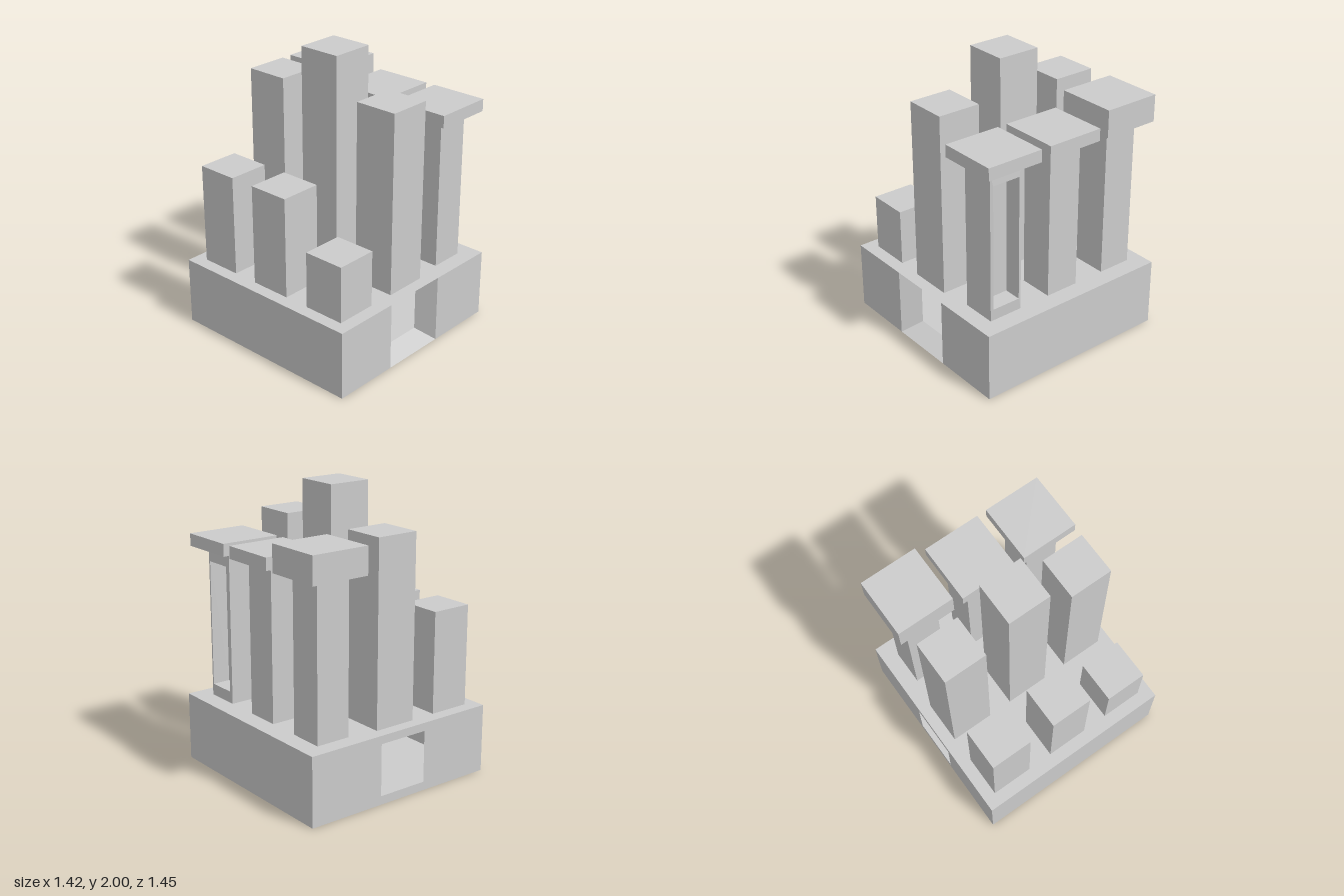
import * as THREE from 'three';

const mat = new THREE.MeshStandardMaterial({ color: 0xcccccc, flatShading: true, side: THREE.DoubleSide });

export function createModel() {
  const model = new THREE.Group();
  const add = (parent, name, geometry) => {
    const mesh = new THREE.Mesh(geometry, mat);
    mesh.name = name;
    parent.add(mesh);
    return mesh;
  };

  // Box given by its limits on each axis
  const block = (name, x0, x1, y0, y1, z0, z1) => {
    const g = new THREE.BoxGeometry(x1 - x0, y1 - y0, z1 - z0);
    g.translate((x0 + x1) / 2, (y0 + y1) / 2, (z0 + z1) / 2);
    return add(model, name, g);
  };

  // Skin through rectangles [u0, u1, v0, v1, w] stacked along w, optionally closed at both ends
  const loft = (rings, closed) => {
    const loops = rings.map(([a, b, c, d, w]) => [[a, c, w], [b, c, w], [b, d, w], [a, d, w]]);
    const pos = [];
    const quad = (a, b, c, d) => pos.push(...a, ...b, ...c, ...a, ...c, ...d);
    for (let r = 0; r < loops.length - 1; r++) {
      for (let i = 0; i < 4; i++) {
        const j = (i + 1) % 4;
        quad(loops[r][i], loops[r][j], loops[r + 1][j], loops[r + 1][i]);
      }
    }
    if (closed) {
      quad(...[...loops[0]].reverse());
      quad(...loops[loops.length - 1]);
    }
    const g = new THREE.BufferGeometry();
    g.setAttribute('position', new THREE.Float32BufferAttribute(pos, 3));
    g.computeVertexNormals();
    return g;
  };

  // Hollow base shell
  const X = 0.712, Z0 = -0.727, Z1 = 0.723, H = 0.477;
  const base = new THREE.Group();
  base.name = 'base';
  model.add(base);
  const depth = Z1 - Z0, midZ = (Z0 + Z1) / 2;
  add(base, 'baseFront', new THREE.PlaneGeometry(2 * X, H).translate(0, H / 2, Z1));
  add(base, 'baseBack', new THREE.PlaneGeometry(2 * X, H).rotateY(Math.PI).translate(0, H / 2, Z0));
  add(base, 'baseTop', new THREE.PlaneGeometry(2 * X, depth).rotateX(-Math.PI / 2).translate(0, H, midZ));
  add(base, 'baseFloor', new THREE.PlaneGeometry(2 * X, depth).rotateX(Math.PI / 2).translate(0, 0, midZ));

  // Left side: two panels with a full-height doorway and a tapered frame between them
  for (const [a, b] of [[Z0, -0.23], [0.25, Z1]]) {
    add(base, 'leftPanel', new THREE.PlaneGeometry(b - a, H).rotateY(Math.PI / 2).translate(X, H / 2, (a + b) / 2));
  }
  const portal = add(base, 'doorwayFrame', loft([[-0.25, 0.23, 0, H, X], [-0.19, 0.17, 0.06, 0.42, X - 0.14]], false));
  portal.rotation.y = Math.PI / 2;

  // Right side: one wall with a smaller opening
  const wall = new THREE.Shape([[Z0, 0], [Z1, 0], [Z1, H], [Z0, H]].map(p => new THREE.Vector2(...p)));
  wall.holes.push(new THREE.Path([[-0.175, 0.06], [-0.175, 0.42], [0.19, 0.42], [0.19, 0.06]].map(p => new THREE.Vector2(...p))));
  add(base, 'rightWall', new THREE.ShapeGeometry(wall).rotateY(-Math.PI / 2).translate(-X, 0, 0));

  // Three rows of square columns
  const frontTops = [1.18, 1.18, 0.87], midTops = [1.74, 2, 1.74], capTops = [1.717, 1.615, 1.615];
  [-0.477, -0.002, 0.474].forEach((x, i) => {
    block('frontColumn', x - 0.147, x + 0.147, H, frontTops[i], 0.342, 0.635);
    block('middleColumn', x - 0.152, x + 0.152, H, midTops[i], -0.146, 0.158);
    block('columnCap', x - 0.203, x + 0.203, 1.53, capTops[i], -0.692, -0.272);
    if (i < 2) block('backColumn', x - 0.122, x + 0.122, H, 1.53, -0.6, -0.355);
  });

  // Back column with a recessed window behind a slightly raised rim
  const windowColumn = add(model, 'windowColumn', loft([
    [-0.122, 0.122, H, 1.53, 0.355],
    [-0.122, 0.122, H, 1.53, 0.6],
    [-0.102, 0.102, 0.56, 1.43, 0.605],
    [-0.102, 0.102, 0.56, 1.43, 0.48],
  ], true));
  windowColumn.rotation.y = Math.PI;
  windowColumn.position.x = 0.474;

  return model;
}
